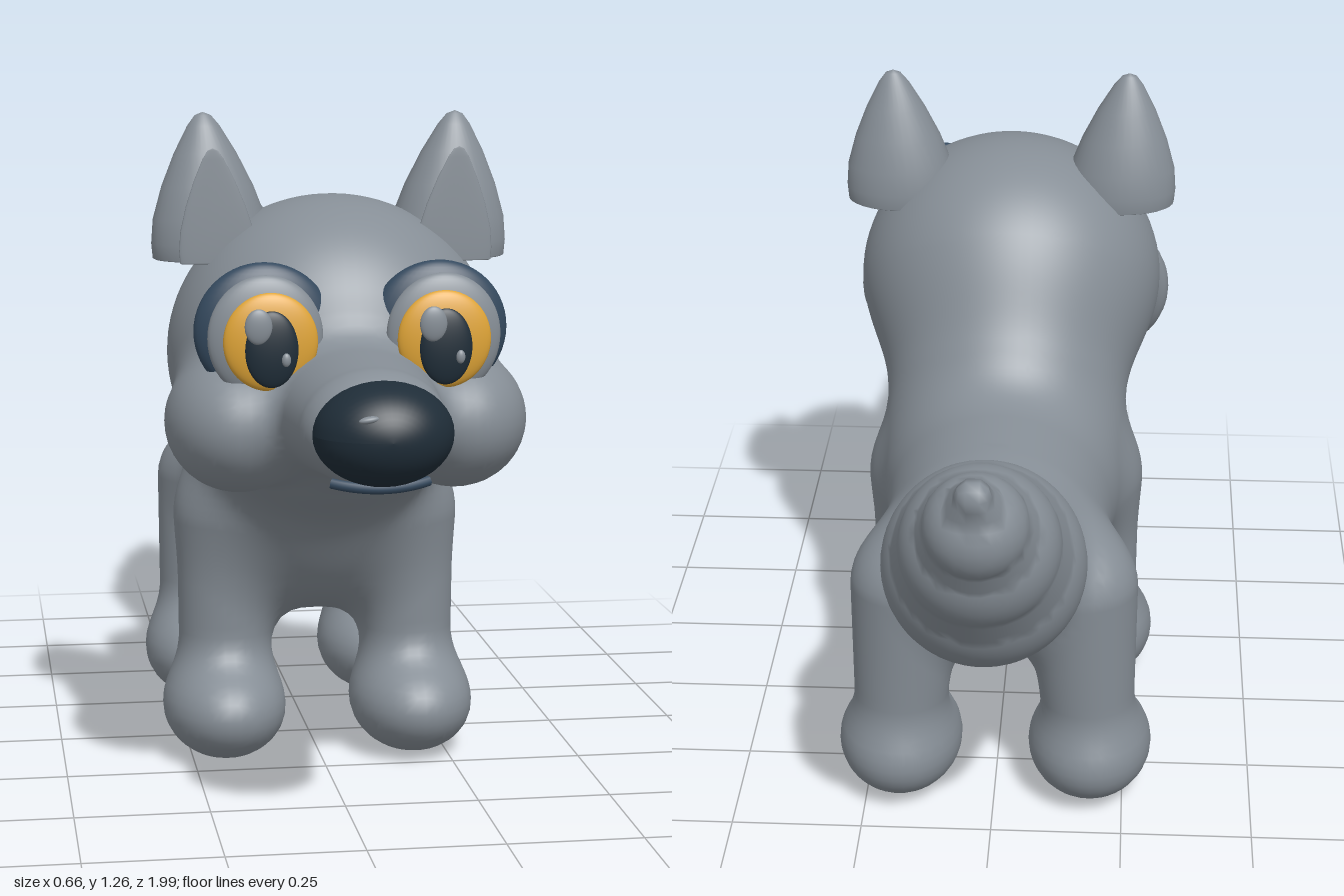
import * as THREE from 'three';

const mat = (name, color) => Object.assign(new THREE.MeshStandardMaterial({ color }), { name });

// distance to an ellipsoid
function ellipsoid(x, y, z, cx, cy, cz, rx, ry, rz) {
  const a = x - cx, b = y - cy, c = z - cz;
  const k0 = Math.hypot(a / rx, b / ry, c / rz);
  const k1 = Math.hypot(a / rx ** 2, b / ry ** 2, c / rz ** 2);
  return k1 < 1e-9 ? -Math.min(rx, ry, rz) : k0 * (k0 - 1) / k1;
}

// distance to a tapered limb between two balls [x, y, z, r]
function limb(x, y, z, a, b) {
  const dx = b[0] - a[0], dy = b[1] - a[1], dz = b[2] - a[2];
  let t = ((x - a[0]) * dx + (y - a[1]) * dy + (z - a[2]) * dz) / (dx * dx + dy * dy + dz * dz);
  t = Math.min(1, Math.max(0, t));
  return Math.hypot(x - a[0] - dx * t, y - a[1] - dy * t, z - a[2] - dz * t) - a[3] - (b[3] - a[3]) * t;
}

// soft union
function blend(a, b, k) {
  const h = Math.max(k - Math.abs(a - b), 0) / k;
  return Math.min(a, b) - h * h * k / 4;
}

// tail spine, from the rump to the tip
const TAIL = [
  [0, 0.55, -0.4, 0.14], [0, 0.61, -0.55, 0.174], [0, 0.69, -0.68, 0.181],
  [0, 0.79, -0.8, 0.14], [0, 0.88, -0.9, 0.09], [0, 0.968, -0.965, 0.032],
];

// the whole soft body: trunk, neck, head, muzzle, legs and tail
function body(px, y, z) {
  const x = Math.abs(px);
  let d = limb(x / 1.02, y, z, [0, 0.52, 0.04, 0.23], [0, 0.515, -0.27, 0.205]);
  d = blend(d, limb(x, y, z, [0, 0.82, 0.28, 0.265], [0, 0.52, 0.03, 0.225]), 0.06);
  for (const [legZ, footZ] of [[0.1, 0.135], [-0.36, -0.315]]) {
    let leg = limb(x, y, z, [0.185, 0.15, legZ, 0.085], [0.165, 0.47, legZ, 0.108]);
    leg = blend(leg, ellipsoid(x, y, z, 0.185, 0.105, footZ, 0.119, 0.1, 0.158), 0.06);
    d = blend(d, leg, 0.08);
  }
  let tail = 1;
  for (let i = 1; i < TAIL.length; i++) tail = Math.min(tail, limb(x, y, z, TAIL[i - 1], TAIL[i]));
  d = blend(d, tail, 0.06);
  d = blend(d, ellipsoid(x, y, z, 0, 0.83, 0.31, 0.305, 0.288, 0.29), 0.05);
  d = blend(d, ellipsoid(x, y, z, 0.195, 0.73, 0.49, 0.132, 0.127, 0.165), 0.05);
  return blend(d, limb(x / 1.25, y, z, [0, 0.76, 0.5, 0.128], [0, 0.767, 0.81, 0.102]), 0.06);
}

function gradient(f, x, y, z) {
  const e = 0.003;
  return new THREE.Vector3(
    f(x + e, y, z) - f(x - e, y, z),
    f(x, y + e, z) - f(x, y - e, z),
    f(x, y, z + e) - f(x, y, z - e)).divideScalar(2 * e);
}

// skin a distance function with one vertex per crossed grid cell
function skin(f, min, size, h) {
  const n = size.map((s) => Math.ceil(s / h) + 1);
  const step = [1, n[0], n[0] * n[1]];
  const val = new Float32Array(n[0] * n[1] * n[2]);
  const each = (lo, hi, fn) => {
    for (let k = lo; k < n[2] - hi; k++)
      for (let j = lo; j < n[1] - hi; j++)
        for (let i = lo; i < n[0] - hi; i++) fn(i, j, k, i + j * step[1] + k * step[2]);
  };
  each(0, 0, (i, j, k, id) => { val[id] = f(min[0] + i * h, min[1] + j * h, min[2] + k * h); });

  const cell = new Map(), pos = [], nor = [], index = [];
  each(0, 1, (i, j, k, id) => {
    const c = new THREE.Vector3();
    let hits = 0;
    for (let q = 0; q < 8; q++) {
      const o = [q & 1, (q >> 1) & 1, q >> 2];
      const a = val[id + o[0] + o[1] * step[1] + o[2] * step[2]];
      for (let s = 0; s < 3; s++) {
        if (o[s]) continue;
        const o2 = [...o];
        o2[s] = 1;
        const b = val[id + o2[0] + o2[1] * step[1] + o2[2] * step[2]];
        if ((a < 0) === (b < 0)) continue;
        o2[s] = a / (a - b);
        c.add(new THREE.Vector3(...o2));
        hits++;
      }
    }
    if (!hits) return;
    c.divideScalar(hits).add(new THREE.Vector3(i, j, k)).multiplyScalar(h).add(new THREE.Vector3(...min));
    const g = gradient(f, c.x, c.y, c.z);
    c.addScaledVector(g, -f(c.x, c.y, c.z) / Math.max(g.lengthSq(), 0.2));
    cell.set(id, pos.length / 3);
    pos.push(c.x, c.y, c.z);
    nor.push(...gradient(f, c.x, c.y, c.z).normalize().toArray());
  });
  each(1, 1, (i, j, k, id) => {
    for (let s = 0; s < 3; s++) {
      const inside = val[id] < 0;
      if (inside === (val[id + step[s]] < 0)) continue;
      const u = step[(s + 1) % 3], v = step[(s + 2) % 3];
      const [a, b, c, d] = [id - u - v, id - v, id, id - u].map((q) => cell.get(q));
      if (inside) index.push(a, b, c, a, c, d);
      else index.push(a, c, b, a, d, c);
    }
  });
  const geo = new THREE.BufferGeometry();
  geo.setAttribute('position', new THREE.Float32BufferAttribute(pos, 3));
  geo.setAttribute('normal', new THREE.Float32BufferAttribute(nor, 3));
  geo.setIndex(index);
  return geo;
}

// rounded ear cone with a flat base, tip leaning outwards
function earGeometry(side) {
  const profile = [[0, 0], [0.106, 0], [0.11, 0.002], [0.111, 0.03], [0.105, 0.075], [0.085, 0.135],
    [0.058, 0.195], [0.03, 0.245], [0.015, 0.264], [0, 0.27]];
  const geo = new THREE.LatheGeometry(profile.map((p) => new THREE.Vector2(...p)), 32);
  const p = geo.attributes.position;
  for (let i = 0; i < p.count; i++) p.setX(i, p.getX(i) + side * 0.06 * p.getY(i));
  return geo;
}

export function createModel() {
  const model = new THREE.Group();
  const fur = mat('grey fur', 0x868e96);
  const dark = mat('nose black', 0x1f2d38);
  const blue = mat('slate blue', 0x34495e);
  const amber = mat('amber', 0xe0a537);

  const add = (name, geo, material, parent = model) => {
    const m = new THREE.Mesh(geo, material);
    m.name = name;
    parent.add(m);
    return m;
  };
  const ball = new THREE.SphereGeometry(1, 40, 28);
  const lens = (name, material, c, r, parent) => {
    const m = add(name, ball, material, parent);
    m.position.set(...c);
    m.scale.set(...r);
    return m;
  };

  add('body', skin(body, [-0.4, -0.06, -1.06], [0.8, 1.26, 2.06], 0.02), fur);

  for (const side of [1, -1]) {
    const label = side > 0 ? 'left' : 'right';

    // ear with a thin inner plate
    const ear = add(label + 'Ear', earGeometry(side), fur);
    ear.position.set(side * 0.219, 1, 0.283);
    ear.scale.z = 0.75;
    const inner = add(label + 'InnerEar', earGeometry(side), fur);
    inner.position.set(side * 0.216, 1, 0.375);
    inner.scale.set(0.64, 0.775, 0.06);

    // eye: stacked lenses, catchlights on the same side of both
    const eye = new THREE.Group();
    eye.name = label + 'Eye';
    model.add(eye);
    const x = side * 0.153;
    lens('eyeShadow', blue, [side * 0.156, 0.9, 0.552], [0.124, 0.121, 0.038], eye);
    lens('eyelid', fur, [side * 0.158, 0.893, 0.596], [0.102, 0.11, 0.028], eye);
    lens('iris', amber, [x, 0.89, 0.63], [0.083, 0.086, 0.021], eye);
    lens('pupil', dark, [x, 0.879, 0.645], [0.047, 0.067, 0.014], eye);
    lens('catchlight', fur, [x - 0.024, 0.92, 0.655], [0.024, 0.031, 0.009], eye);
    lens('smallCatchlight', fur, [x + 0.024, 0.862, 0.657], [0.008, 0.012, 0.006], eye);
  }

  // nose: ball with a flattened back
  const noseGeo = new THREE.SphereGeometry(1, 40, 28).rotateX(Math.PI / 2);
  const p = noseGeo.attributes.position;
  for (let i = 0; i < p.count; i++) if (p.getZ(i) < 0) p.setZ(i, p.getZ(i) * 0.35);
  noseGeo.scale(0.118, 0.088, 0.1).computeVertexNormals();
  add('nose', noseGeo, dark).position.set(0, 0.773, 0.9);
  lens('noseHighlight', fur, [-0.037, 0.81, 0.984], [0.017, 0.006, 0.008]).rotation.z = 0.15;

  // smile line under the nose
  const smile = new THREE.QuadraticBezierCurve3(
    new THREE.Vector3(-0.082, 0.686, 0.872), new THREE.Vector3(0, 0.67, 0.91), new THREE.Vector3(0.082, 0.686, 0.872));
  add('mouth', new THREE.TubeGeometry(smile, 24, 0.009, 8), blue);

  return model;
}
